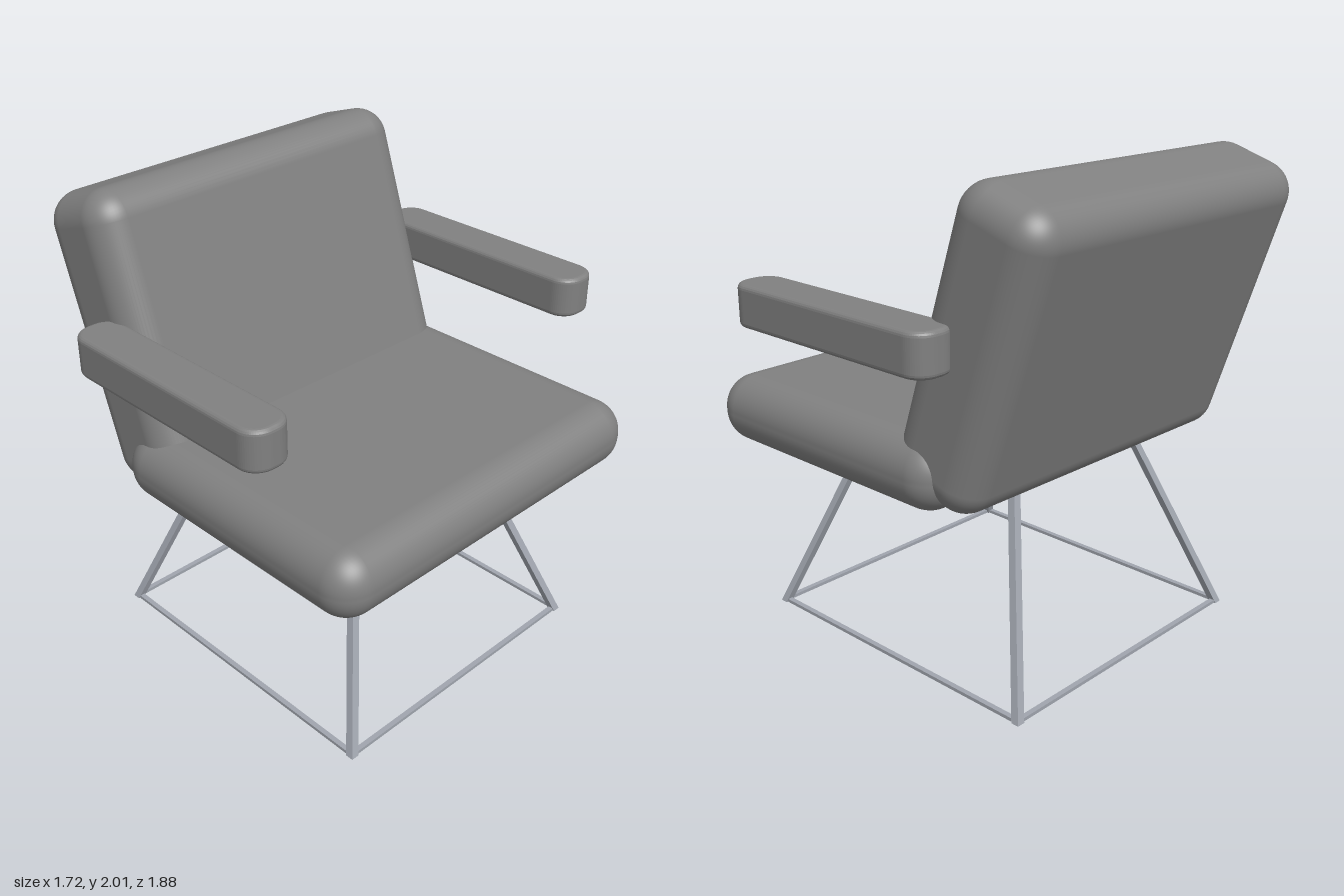
import * as THREE from 'three';
import { RoundedBoxGeometry } from 'three/addons/geometries/RoundedBoxGeometry.js';

export function createModel() {
  const chair = new THREE.Group();
  chair.name = 'armchair';
  const upholstery = new THREE.MeshStandardMaterial({ name: 'grey upholstery', color: 0x808080 });
  const steel = new THREE.MeshStandardMaterial({ name: 'pale steel', color: 0xa0a5ae });

  const add = (name, geometry, material, x = 0, y = 0, z = 0) => {
    const mesh = new THREE.Mesh(geometry, material);
    mesh.name = name;
    mesh.position.set(x, y, z);
    chair.add(mesh);
    return mesh;
  };

  // Cushions: the seat is level, the back leans away from the sitter
  add('seatCushion', new RoundedBoxGeometry(1.29, 0.285, 1.665, 8, 0.135), upholstery, 0.215, 0.917, -0.012);
  const back = add('backCushion', new RoundedBoxGeometry(0.42, 1.206, 1.565, 8, 0.125), upholstery, -0.51, 1.393, -0.01);
  back.rotation.set(0.011, 0, 0.314);

  // Armrests: rounded plan, lightly softened top and bottom edges
  const bevel = 0.02, halfL = 0.525 - bevel, halfW = 0.098 - bevel, r = 0.065;
  const plan = new THREE.Shape();
  plan.absarc(halfL - r, halfW - r, r, 0, Math.PI / 2);
  plan.absarc(-halfL + r, halfW - r, r, Math.PI / 2, Math.PI);
  plan.absarc(-halfL + r, -halfW + r, r, Math.PI, Math.PI * 1.5);
  plan.absarc(halfL - r, -halfW + r, r, Math.PI * 1.5, Math.PI * 2);
  plan.closePath();
  const armGeometry = new THREE.ExtrudeGeometry(plan, {
    depth: 0.17 - 2 * bevel, bevelSize: bevel, bevelThickness: bevel, bevelSegments: 4, curveSegments: 8,
  });
  armGeometry.rotateX(-Math.PI / 2);
  add('frontArmrest', armGeometry, upholstery, 0.025, 1.35 + bevel, 0.839);
  add('rearArmrest', armGeometry, upholstery, 0.025, 1.35 + bevel, -0.843);

  // Splayed legs: upright bars sheared so that both ends stay level
  const cx = 0.015, cz = -0.01;
  const foot = { x: 0.69, z: 0.64 }, top = { x: 0.41, z: 0.36 };
  const legHeight = 0.785;
  for (const sx of [-1, 1]) {
    for (const sz of [-1, 1]) {
      const geometry = new THREE.BoxGeometry(0.034, legHeight, 0.034);
      const p = geometry.attributes.position;
      for (let i = 0; i < p.count; i++) {
        const t = p.getY(i) / legHeight + 0.5;
        p.setX(i, p.getX(i) + sx * THREE.MathUtils.lerp(foot.x, top.x, t));
        p.setZ(i, p.getZ(i) + sz * THREE.MathUtils.lerp(foot.z, top.z, t));
      }
      geometry.computeVertexNormals();
      add('leg', geometry, steel, cx, legHeight / 2, cz);
    }
  }

  // Thin rectangular frames joining the legs at floor and seat
  const frame = (name, { x, z }, y) => {
    for (const s of [-1, 1]) {
      add(name, new THREE.BoxGeometry(2 * x, 0.014, 0.022), steel, cx, y, cz + s * z);
      add(name, new THREE.BoxGeometry(0.022, 0.014, 2 * z), steel, cx + s * x, y, cz);
    }
  };
  frame('floorRail', foot, 0.008);
  frame('seatRail', top, 0.77);

  return chair;
}
